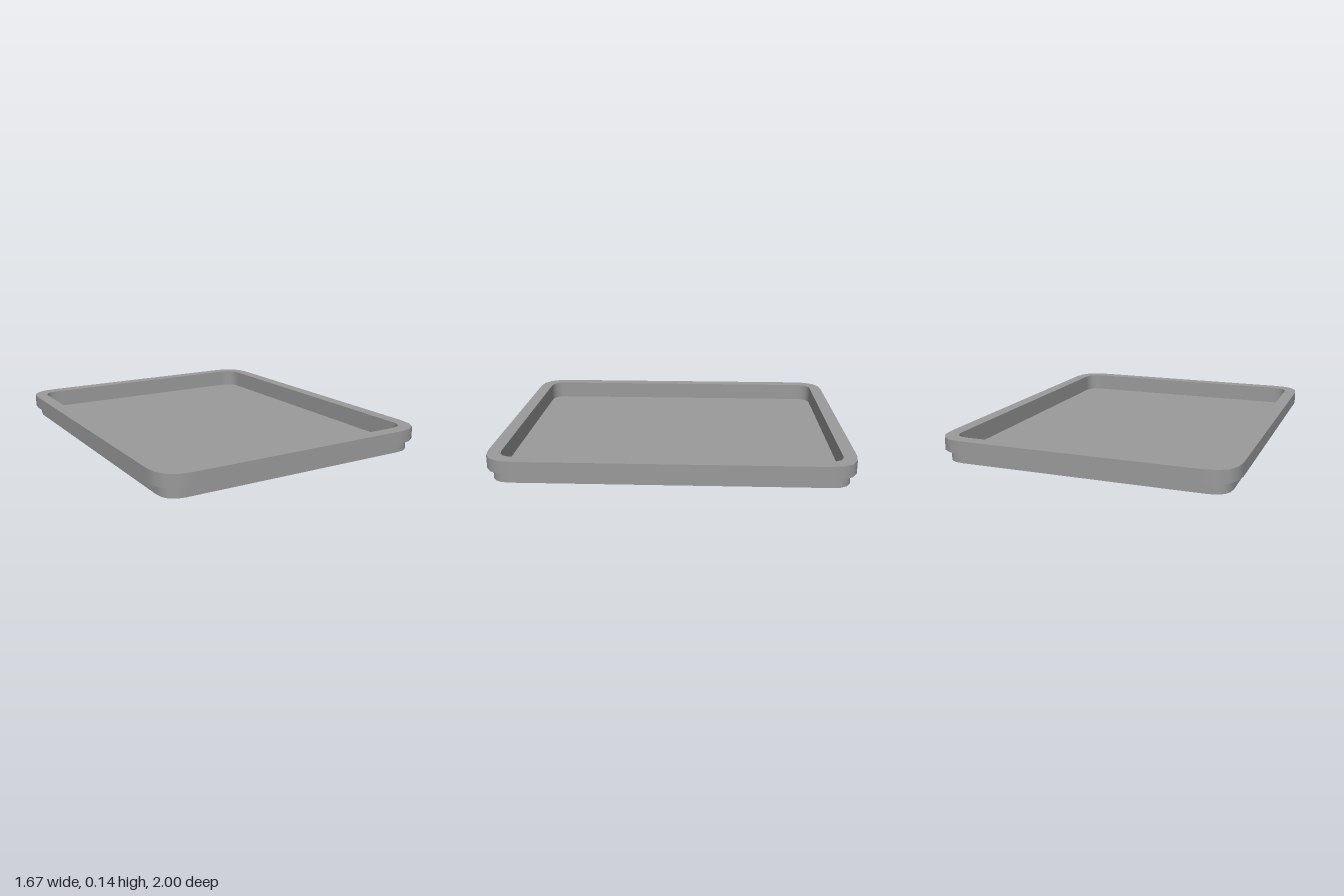
import * as THREE from 'three';

// Outlines: half width, half depth and corner size
const OUTER = [0.835, 1, 0.17], BODY = [0.795, 0.965, 0.11], INNER = [0.76, 0.925, 0.09];
const TOP = 0.135, LIP_BOTTOM = 0.062, FLOOR = 0.03, SEGS = 4;

const material = new THREE.MeshStandardMaterial({ color: 0x9a9a9a, side: THREE.DoubleSide });

// Rectangle with quadratic-curve corners, counter-clockwise, with the outward direction at each point
function outline([halfX, halfZ, corner]) {
  const points = [];
  for (const [sx, sy] of [[1, 1], [-1, 1], [-1, -1], [1, -1]]) {
    for (let i = 0; i <= SEGS; i++) {
      const t = sx * sy > 0 ? i / SEGS : 1 - i / SEGS;
      const length = Math.hypot(1 - t, t);
      points.push({
        x: sx * (halfX - corner * t * t),
        y: sy * (halfZ - corner * (1 - t) ** 2),
        nx: sx * (1 - t) / length,
        ny: sy * t / length,
      });
    }
  }
  return points;
}

// Upright band following an outline; side is 1 to face out, -1 to face in
function wall(size, y0, y1, side) {
  const loop = outline(size), n = loop.length;
  const position = [], normal = [], index = [];
  loop.forEach((p, i) => {
    position.push(p.x, y0, -p.y, p.x, y1, -p.y);
    for (let k = 0; k < 2; k++) normal.push(side * p.nx, 0, -side * p.ny);
    const a = 2 * i, b = 2 * ((i + 1) % n);
    if (side > 0) index.push(a, b, b + 1, a, b + 1, a + 1);
    else index.push(a, b + 1, b, a, a + 1, b + 1);
  });
  const geometry = new THREE.BufferGeometry();
  geometry.setAttribute('position', new THREE.Float32BufferAttribute(position, 3));
  geometry.setAttribute('normal', new THREE.Float32BufferAttribute(normal, 3));
  geometry.setIndex(index);
  return geometry;
}

// Flat horizontal panel facing up (1) or down (-1), optionally with an opening
function panel(size, y, side, holeSize) {
  const toPoints = s => outline(s).map(p => new THREE.Vector2(p.x, p.y));
  const shape = new THREE.Shape(toPoints(size));
  if (holeSize) shape.holes.push(new THREE.Path(toPoints(holeSize)));
  return new THREE.ShapeGeometry(shape).rotateX(-side * Math.PI / 2).translate(0, y, 0);
}

export function createModel() {
  const tray = new THREE.Group();
  tray.name = 'tray';
  const add = (name, geometry) => {
    const mesh = new THREE.Mesh(geometry, material);
    mesh.name = name;
    tray.add(mesh);
  };

  // Shallow body
  add('underside', panel(BODY, 0, -1));
  add('bodyWall', wall(BODY, 0, TOP, 1));
  add('floor', panel(INNER, FLOOR, 1));
  add('innerWall', wall(INNER, FLOOR, TOP, -1));

  // Flat rim with a turned-down lip, open underneath
  add('rim', panel(OUTER, TOP, 1, INNER));
  add('lip', wall(OUTER, LIP_BOTTOM, TOP, 1));
  return tray;
}
